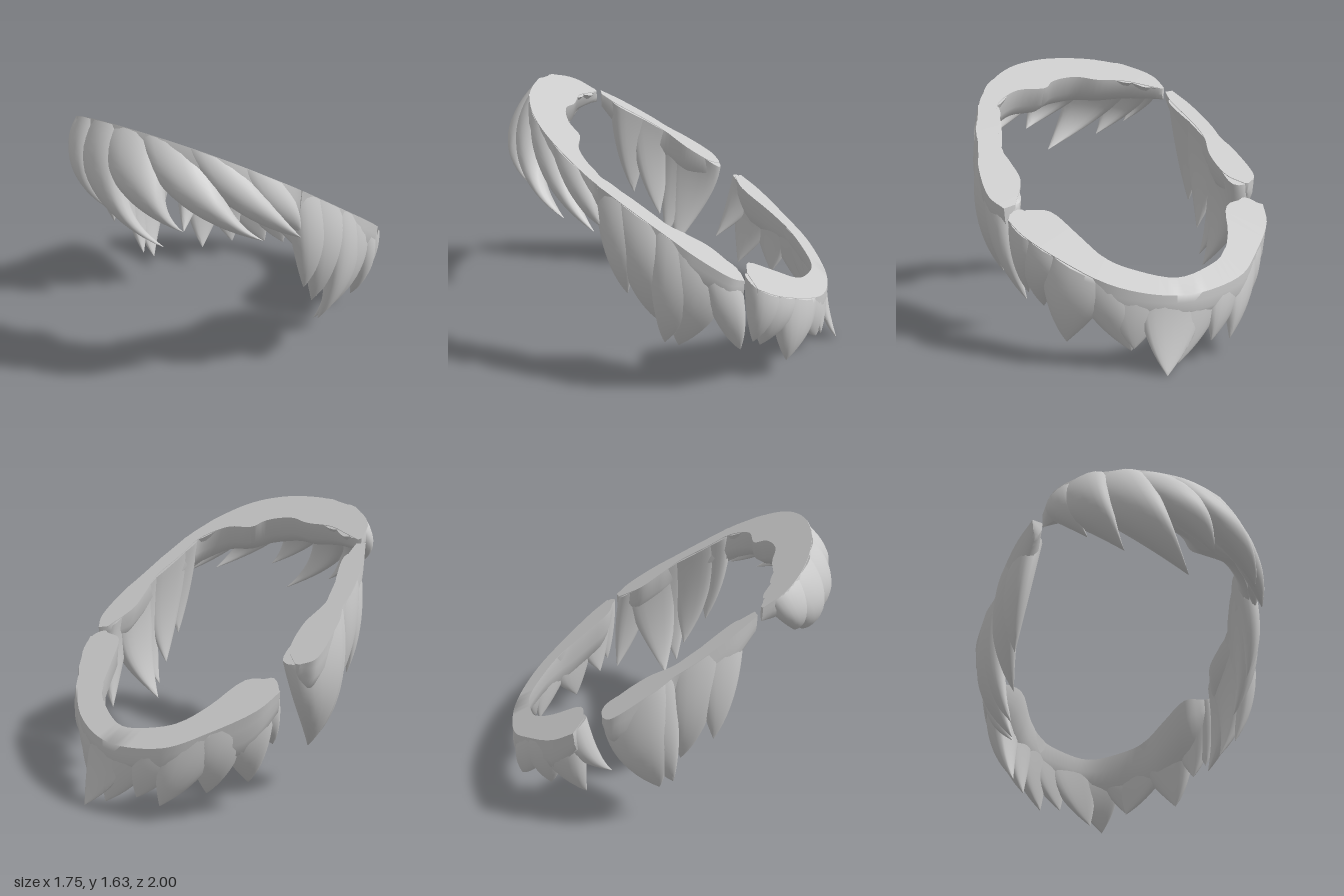
import * as THREE from 'three';
import { toCreasedNormals } from 'three/addons/utils/BufferGeometryUtils.js';

// slanted cut that trims every part along its top
const SLOPE = 0.695;
const cutY = (z) => 1.04 + SLOPE * z;

const material = new THREE.MeshStandardMaterial({ color: 0xcccccc });

// horizontal outward direction on the head oval
function outward(x, z) {
  return new THREE.Vector3(x / 0.56, 0, z / 0.66).normalize();
}

function makeMesh(name, pos, idx) {
  const g = new THREE.BufferGeometry();
  g.setAttribute('position', new THREE.Float32BufferAttribute(pos, 3));
  g.setIndex(idx);
  const mesh = new THREE.Mesh(toCreasedNormals(g, 0.9), material);
  mesh.name = name;
  return mesh;
}

const softPow = (v, e) => Math.sign(v) * Math.abs(v) ** e;

// tapering lock: root on the cut, bent around the head, bulging outward, ending in a point
function lock(name, [x, z, halfW, halfT, tx, ty, tz, bulge]) {
  const N = outward(x, z);
  const T = new THREE.Vector3(N.z, 0, -N.x);
  const root = new THREE.Vector3(x, cutY(z) - 0.004, z);
  const tip = new THREE.Vector3(tx, ty, tz);
  const ctrl = root.clone().lerp(tip, 0.55).addScaledVector(N, bulge);
  ctrl.x += (x - tx) * 0.25;
  ctrl.z += (z - tz) * 0.25;
  const path = new THREE.QuadraticBezierCurve3(root, ctrl, tip);
  const rings = 16, sides = 20, pos = [], idx = [];
  for (let i = 0; i <= rings; i++) {
    const t = i / rings, c = path.getPoint(t);
    const w = halfW * (1 - t ** 1.9) + 0.002;
    const d = halfT * (1 - t ** 2.2) + 0.002;
    for (let j = 0; j < sides; j++) {
      const a = (j / sides) * Math.PI * 2;
      const u = softPow(Math.cos(a), 0.85) * w;
      const p = c.clone()
        .addScaledVector(T, u)
        .addScaledVector(N, softPow(Math.sin(a), 0.7) * d - u * u / 1.6);
      p.y += SLOPE * (p.z - c.z) * (1 - t);
      pos.push(p.x, Math.min(p.y, cutY(p.z) - 0.004), p.z);
      if (i < rings) {
        const k = i * sides + j, n = i * sides + (j + 1) % sides;
        idx.push(k, n, k + sides, n, n + sides, k + sides);
      }
    }
  }
  // flat top and tip
  const top = pos.length / 3, last = rings * sides;
  pos.push(root.x, root.y, root.z, tip.x, tip.y, tip.z);
  for (let j = 0; j < sides; j++) {
    const n = (j + 1) % sides;
    idx.push(top, n, j, top + 1, last + j, last + n);
  }
  return makeMesh(name, pos, idx);
}

// solid strip between an outer and an inner outline, rounded off below
function band(name, outer, inner, depths, bulge) {
  const curve = (pts) => new THREE.CatmullRomCurve3(pts.map(([x, z]) => new THREE.Vector3(x, 0, z)));
  const out = curve(outer), inn = curve(inner);
  const steps = 40, pos = [], idx = [];
  // [outer-to-inner fraction, bulge fraction, depth fraction]
  const section = [[0, 0, 0], [0.04, 0.7, 0.25], [0.08, 1, 0.55], [0.2, 0.9, 0.85], [0.4, 0.6, 1],
    [0.7, 0.5, 0.85], [0.95, 0.3, 0.5], [1, 0, 0]];
  const n = section.length;
  for (let s = 0; s <= steps; s++) {
    const t = s / steps, o = out.getPoint(t), i = inn.getPoint(t);
    const N = outward(o.x, o.z);
    const f = t * (depths.length - 1), k = Math.min(Math.floor(f), depths.length - 2);
    const depth = THREE.MathUtils.lerp(depths[k], depths[k + 1], f - k);
    section.forEach(([across, push, down], j) => {
      const p = o.clone().lerp(i, across);
      const y = cutY(p.z) - down * depth;
      p.addScaledVector(N, push * bulge * Math.sin(Math.PI * t));
      pos.push(p.x, Math.min(y, cutY(p.z)), p.z);
      if (s < steps) {
        const a = s * n + j, b = s * n + (j + 1) % n;
        idx.push(a, b, a + n, b, b + n, a + n);
      }
    });
  }
  const e = steps * n;
  for (let j = 1; j < n - 1; j++) idx.push(0, j + 1, j, e, e + j, e + j + 1);
  return makeMesh(name, pos, idx);
}

function section(name, strip, locks) {
  const group = new THREE.Group();
  group.name = name;
  group.add(band(name + 'Band', ...strip));
  locks.forEach((l, i) => group.add(lock(`${name}Lock${i + 1}`, l)));
  return group;
}

export function createModel() {
  const model = new THREE.Group();
  model.name = 'hairRing';

  // fringe swept towards the model's left
  model.add(section('fringe', [
    [[-0.62, 0.56], [-0.59, 0.67], [-0.45, 0.77], [-0.2, 0.84], [0, 0.855], [0.2, 0.84], [0.4, 0.78], [0.55, 0.68], [0.7, 0.5], [0.74, 0.42]],
    [[-0.6, 0.55], [-0.48, 0.59], [-0.35, 0.63], [-0.15, 0.64], [0, 0.67], [0.18, 0.63], [0.25, 0.57], [0.45, 0.55], [0.6, 0.45], [0.64, 0.38]],
    [0.08, 0.16, 0.22, 0.24, 0.24, 0.22, 0.2], 0.05],
  [
    [-0.52, 0.655, 0.1, 0.06, -0.4, 1.19, 0.76, 0.13],
    [-0.42, 0.7, 0.16, 0.08, -0.21, 1.1, 0.82, 0.2],
    [-0.25, 0.745, 0.2, 0.085, 0.15, 1.0, 0.83, 0.28],
    [-0.04, 0.77, 0.2, 0.085, 0.3, 1.15, 0.85, 0.25],
    [0.18, 0.755, 0.2, 0.085, 0.64, 1.11, 0.63, 0.24],
    [0.4, 0.69, 0.18, 0.08, 0.76, 1.09, 0.46, 0.13],
    [0.58, 0.56, 0.14, 0.07, 0.73, 1.1, 0.42, 0.06],
  ]));

  // model's left side
  model.add(section('leftSide', [
    [[0.74, 0.43], [0.8, 0.22], [0.84, 0.05], [0.865, -0.05], [0.86, -0.25], [0.8, -0.33]],
    [[0.63, 0.43], [0.65, 0.28], [0.7, 0.1], [0.67, -0.02], [0.65, -0.15], [0.73, -0.31]],
    [0.22, 0.26, 0.24, 0.24, 0.22, 0.12], 0.01],
  [
    [0.7, 0.33, 0.12, 0.065, 0.7, 0.68, 0.3, 0.08],
    [0.73, 0.22, 0.16, 0.075, 0.67, 0.5, 0.15, 0.1],
    [0.765, 0.02, 0.15, 0.075, 0.69, 0.35, 0.1, 0.11],
    [0.765, -0.08, 0.18, 0.085, 0.62, 0.28, 0.02, 0.12],
    [0.77, -0.18, 0.13, 0.08, 0.68, 0.29, -0.33, 0.08],
  ]));

  // model's right side, two overlapping clumps
  model.add(section('rightSide', [
    [[-0.8, -0.27], [-0.87, -0.22], [-0.86, -0.05], [-0.81, 0.1], [-0.8, 0.2], [-0.74, 0.4], [-0.67, 0.53]],
    [[-0.77, -0.27], [-0.68, -0.2], [-0.65, -0.04], [-0.69, 0.11], [-0.67, 0.25], [-0.61, 0.43], [-0.61, 0.52]],
    [0.06, 0.2, 0.26, 0.26, 0.26, 0.2, 0.1], 0.01],
  [
    [-0.68, 0.34, 0.13, 0.06, -0.7, 0.66, 0.33, 0.06],
    [-0.73, 0.22, 0.15, 0.065, -0.67, 0.5, 0.15, 0.08],
    [-0.76, -0.02, 0.15, 0.075, -0.67, 0.33, 0.11, 0.1],
    [-0.765, -0.09, 0.19, 0.09, -0.65, 0.27, 0.03, 0.11],
  ]));

  // nape
  model.add(section('nape', [
    [[0.8, -0.4], [0.75, -0.5], [0.6, -0.66], [0.4, -0.82], [0.2, -0.9], [0, -0.93], [-0.2, -0.91], [-0.4, -0.85], [-0.55, -0.74], [-0.75, -0.55], [-0.8, -0.43]],
    [[0.68, -0.35], [0.55, -0.37], [0.45, -0.52], [0.35, -0.68], [0.2, -0.77], [0, -0.83], [-0.2, -0.79], [-0.35, -0.72], [-0.45, -0.6], [-0.55, -0.42], [-0.7, -0.38]],
    [0.15, 0.28, 0.28, 0.2, 0.17, 0.18, 0.2, 0.28, 0.15], 0.01],
  [
    [0.71, -0.44, 0.1, 0.07, 0.69, 0.35, -0.4, 0.03],
    [0.64, -0.51, 0.15, 0.08, 0.62, 0.28, -0.45, 0.05],
    [0.5, -0.65, 0.2, 0.085, 0.55, 0.12, -0.62, 0.04],
    [0.42, -0.73, 0.2, 0.06, 0.27, 0.1, -0.84, 0.02],
    [0.24, -0.83, 0.17, 0.045, 0.27, 0.12, -0.87, 0.01],
    [0.03, -0.88, 0.2, 0.04, 0.14, 0.0, -1.0, -0.02],
    [-0.15, -0.86, 0.19, 0.045, 0.04, 0.03, -0.93, 0.01],
    [-0.34, -0.8, 0.18, 0.055, -0.18, 0.11, -0.89, 0.02],
    [-0.48, -0.7, 0.2, 0.07, -0.32, 0.09, -0.85, 0.03],
    [-0.56, -0.62, 0.17, 0.08, -0.47, 0.14, -0.64, 0.05],
    [-0.64, -0.53, 0.16, 0.08, -0.57, 0.16, -0.41, 0.06],
    [-0.69, -0.47, 0.1, 0.07, -0.61, 0.35, -0.25, 0.04],
  ]));

  return model;
}
